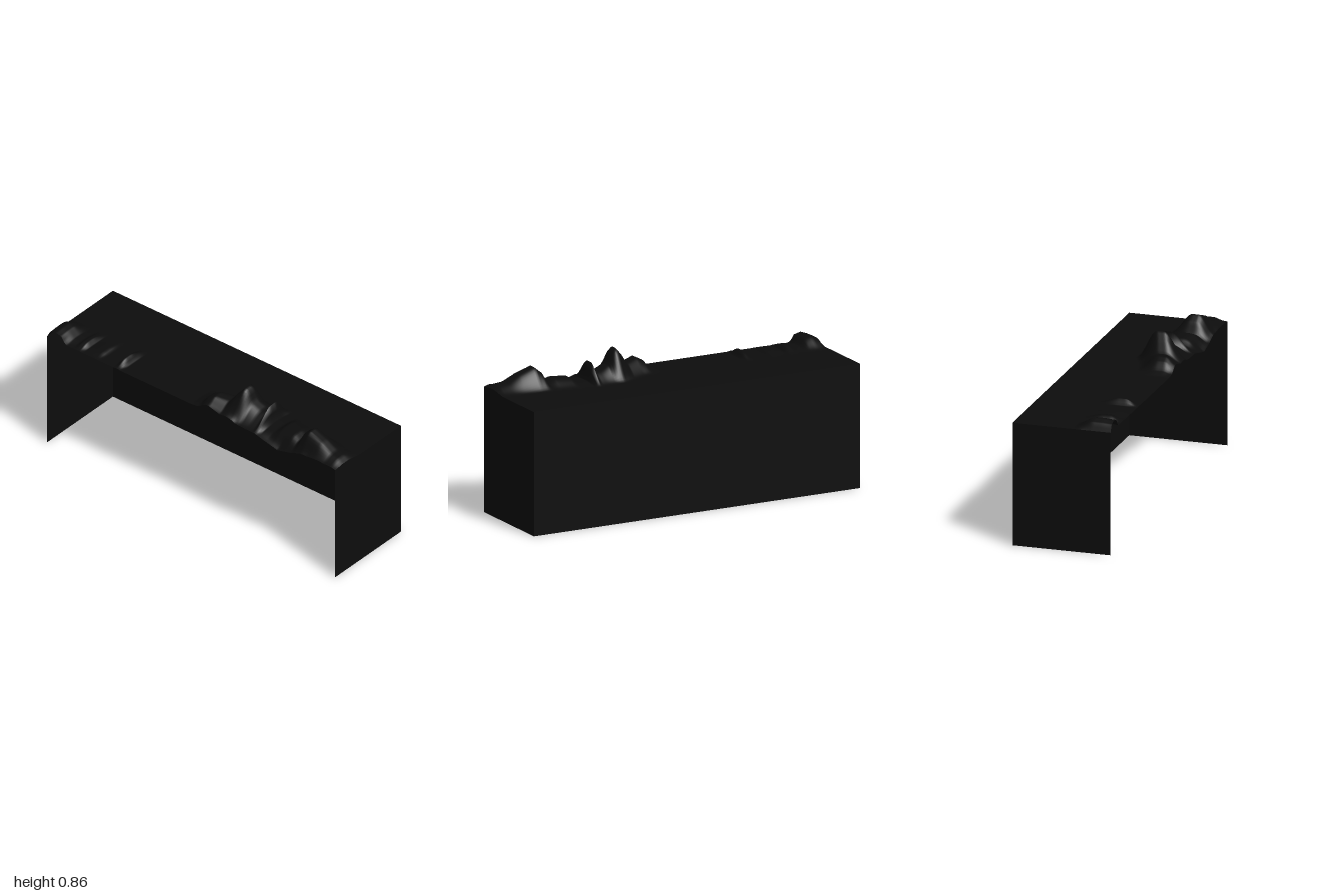
import * as THREE from 'three';

const BASE = 0.692, DEPTH = 0.278;

// skyline of the ridge: [x, height above the flat top]
const SKYLINE = [
  [-1, 0], [-0.98, 0.04], [-0.94, 0.056], [-0.9, 0.046], [-0.87, 0.012], [-0.82, 0.005],
  [-0.8, 0.024], [-0.77, 0.024], [-0.76, 0.002], [-0.7, 0.01], [-0.66, 0.012], [-0.64, 0],
  [-0.54, 0.003], [-0.515, 0.04], [-0.49, 0], [0, 0], [0.05, 0.02], [0.08, 0.055],
  [0.12, 0.075], [0.2, 0.062], [0.24, 0.12], [0.28, 0.163], [0.3, 0.148], [0.33, 0.08],
  [0.38, 0.055], [0.42, 0.052], [0.44, 0.11], [0.46, 0.01], [0.52, 0.008], [0.56, 0.036],
  [0.65, 0.04], [0.69, 0.022], [0.72, 0.08], [0.76, 0.112], [0.85, 0.08], [0.92, 0.042],
  [0.97, 0.035], [1, 0.015],
];
// where the crest lies in z along x
const CREST = [[-1, 0.18], [-0.5, 0.17], [0, 0.2], [0.12, 0.19], [0.28, 0.125], [0.44, 0.11], [0.6, 0.14], [0.75, 0.165], [1, 0.18]];
// how much height is kept at the front edge
const KEEP = [[-1, 0.95], [-0.9, 0.9], [-0.86, 0.1], [0, 0.1], [0.1, 0.6], [0.2, 0.3], [0.3, 0.05], [0.5, 0], [0.8, 0.1], [1, 0.5]];

function sample(points, t) {
  let i = 1;
  while (i < points.length - 1 && t > points[i][0]) i++;
  const [a, va] = points[i - 1], [b, vb] = points[i];
  return va + (vb - va) * THREE.MathUtils.clamp((t - a) / (b - a), 0, 1);
}

// height of the top surface
function heightAt(x, z) {
  const h = sample(SKYLINE, x), crest = sample(CREST, x);
  const rise = THREE.MathUtils.smoothstep(z, crest - 0.125, crest - 0.005);
  const fall = THREE.MathUtils.smoothstep(z, crest + 0.03, DEPTH);
  const keep = sample(KEEP, x);
  const sag = 0.04 * THREE.MathUtils.smoothstep(z, 0.2, DEPTH) * Math.max(0, 1 - Math.abs(x - 0.6) / 0.16);
  return BASE + h * rise * (1 - fall * (1 - keep)) - sag;
}

// rectangular sheet whose vertices are placed by a rule of u, v in 0..1
function sheet(name, nu, nv, rule, material) {
  const geometry = new THREE.PlaneGeometry(1, 1, nu, nv);
  const pos = geometry.attributes.position;
  for (let i = 0; i < pos.count; i++) {
    pos.setXYZ(i, ...rule(pos.getX(i) + 0.5, pos.getY(i) + 0.5));
  }
  geometry.computeVertexNormals();
  const mesh = new THREE.Mesh(geometry, material);
  mesh.name = name;
  return mesh;
}

export function createModel() {
  const group = new THREE.Group();
  group.name = 'ridgedCover';
  const black = new THREE.MeshStandardMaterial({ color: 0x0d0d0d, side: THREE.DoubleSide });
  black.name = 'black';

  // top with the ridge along its front half
  group.add(sheet('ridgedTop', 200, 56, (u, v) => {
    const x = 2 * u - 1, z = DEPTH * (1 - 2 * v);
    return [x, heightAt(x, z), z];
  }, black));

  // back wall
  group.add(sheet('backWall', 1, 1, (u, v) => [1 - 2 * u, BASE * v, -DEPTH], black));

  // end walls, following the top edge; front and underside stay open
  for (const side of [1, -1]) {
    group.add(sheet(side > 0 ? 'leftWall' : 'rightWall', 56, 1, (u, v) => {
      const z = side * DEPTH * (1 - 2 * u);
      return [side, heightAt(side, z) * v, z];
    }, black));
  }
  return group;
}
